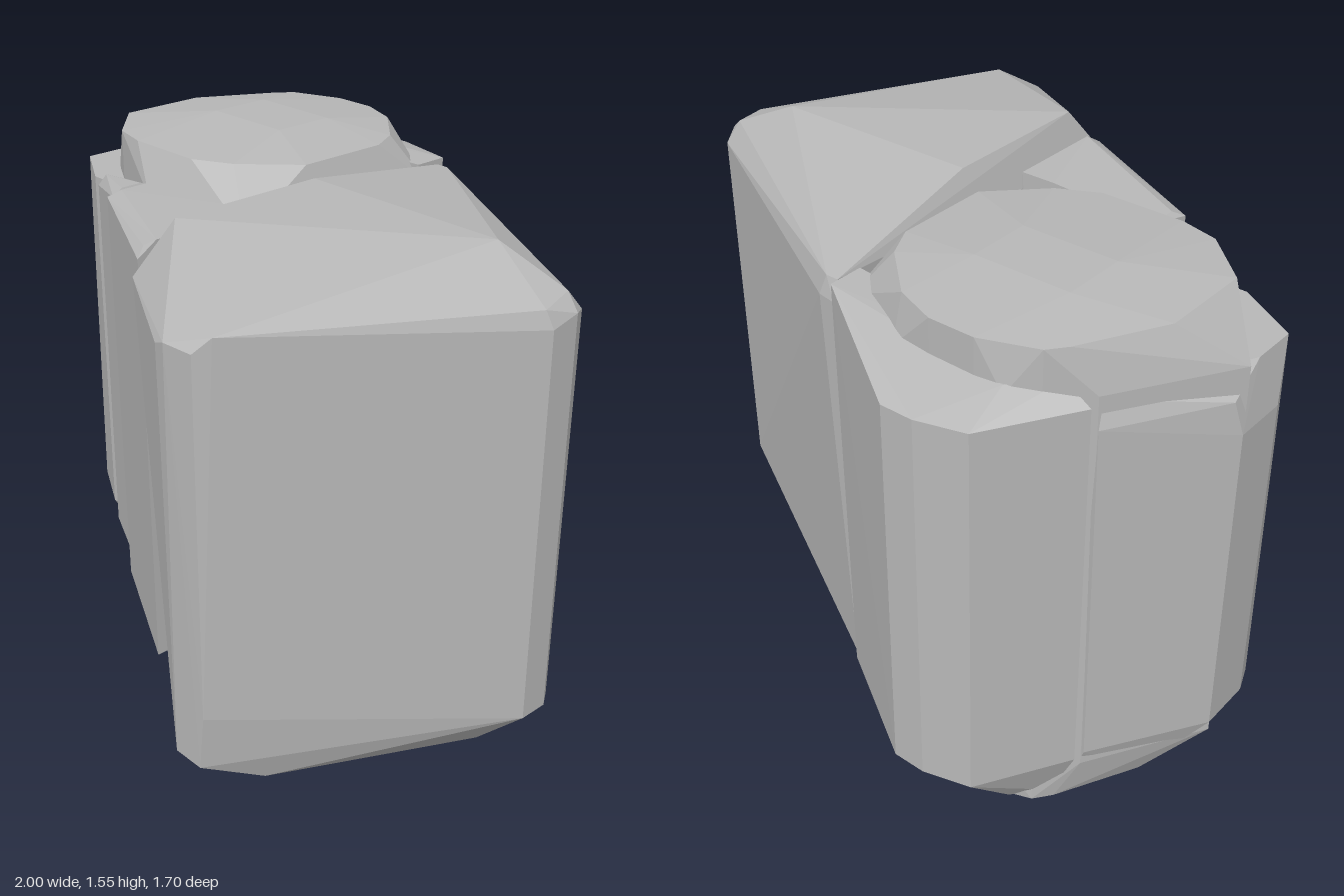
import * as THREE from 'three';
import { ConvexGeometry } from 'three/addons/geometries/ConvexGeometry.js';

export function createModel() {
  const group = new THREE.Group();
  const grey = new THREE.MeshStandardMaterial({ color: 0xb8b8b8 });
  grey.name = 'stone grey';

  // Convex solid around a list of [x, y, z] corners
  const hull = (name, pts) => {
    const mesh = new THREE.Mesh(new ConvexGeometry(pts.map(p => new THREE.Vector3(...p))), grey);
    mesh.name = name;
    group.add(mesh);
  };
  // Horizontal outline of [x, z] corners at height y
  const ring = (y, outline) => outline.map(([x, z]) => [x, y, z]);

  // Large bevelled block on the left
  hull('largeBlock', [
    [0.07, 1.53, 0.5], [0.07, 1.53, 0.0], [0.75, 1.53, 0.0],
    [0.02, 1.44, -0.57], [0.06, 1.44, -0.57], [0.95, 1.44, -0.04],
    [0.98, 1.43, 0.08], [0.58, 1.44, 0.8], [0.02, 1.38, 0.61], [0.4, 1.38, 0.83],
    [0.02, 1.38, -0.59], [0.08, 1.38, -0.58], [0.96, 1.38, -0.09],
    [1.0, 1.4, -0.02], [1.0, 1.38, 0.07], [0.55, 1.4, 0.84], [0.45, 1.4, 0.845],
    [1.0, 0.21, -0.02], [1.0, 0.21, 0.07], [0.96, 0.2, -0.08],
    [0.55, 0.35, 0.84], [0.43, 0.18, 0.84], [0.53, 0.18, 0.84],
    [0.02, 0.13, -0.58], [0.07, 0.1, -0.5], [0.07, 0.1, 0.5],
    [0.6, 0.1, 0.67], [0.88, 0.1, 0.12], [0.85, 0.1, -0.04],
  ]);

  // Rounded core with flared shoulders at top and bottom
  const disc = [
    [-0.85, -0.32], [-0.72, -0.56], [-0.68, -0.61], [-0.52, -0.67], [-0.38, -0.67],
    [-0.25, -0.62], [-0.1, -0.48], [-0.05, -0.38], [-0.05, -0.08], [-0.2, 0.07],
    [-0.32, 0.13], [-0.58, 0.13], [-0.7, 0.1], [-0.85, -0.04],
  ];
  const shoulder = [
    [0.0, 0.2], [-0.44, 0.2], [-0.8, 0.04], [-0.99, -0.18],
    [-0.78, -0.52], [-0.6, -0.66], [-0.25, -0.66], [0.0, -0.54],
  ];
  hull('core', [
    ...ring(1.525, disc),
    ...ring(1.553, [[-0.6, -0.4], [-0.6, -0.2], [-0.3, -0.2], [-0.3, -0.4]]),
    ...ring(1.39, shoulder), ...ring(0.14, shoulder), ...ring(0, disc),
  ]);

  // Wall segment: outline rings at the foot, lower bevel, upper bevel and top
  const wall = (name, layers) => hull(name, layers.flatMap(([y, o]) => ring(y, o)));

  wall('backWall', [
    [0, [[-0.7, -0.55], [-0.62, -0.64], [-0.52, -0.67], [-0.38, -0.67], [-0.2, -0.6]]],
    [0.13, [[0.005, -0.6], [0.005, -0.5]]],
    [0.18, [[-0.38, -0.85], [-0.48, -0.85], [-0.62, -0.81], [-0.78, -0.55]]],
    [1.37, [[-0.38, -0.85], [-0.48, -0.85], [-0.62, -0.81], [-0.78, -0.55]]],
    [1.42, [[-0.4, -0.68], [-0.6, -0.66], [-0.7, -0.55]]],
    [1.45, [[0.005, -0.61], [0.005, -0.5]]],
  ]);

  wall('sideWall', [
    [0, [[-0.72, -0.5], [-0.85, -0.32], [-0.85, -0.05], [-0.72, 0.06]]],
    [0.19, [[-0.79, -0.52], [-1.0, -0.2], [-1.0, -0.03], [-0.97, 0.05], [-0.78, 0.155], [-0.7, 0.155]]],
    [1.2, [[-1.0, -0.2], [-1.0, -0.03]]],
    [1.3, [[-0.79, -0.53], [-0.98, -0.22]]],
    [1.37, [[-0.97, 0.04], [-0.97, -0.1], [-0.78, 0.155], [-0.7, 0.155], [-0.7, 0.08], [-0.78, -0.5]]],
  ]);

  wall('narrowFrontWall', [
    [0, [[-0.695, 0.08], [-0.48, 0.1]]],
    [0.17, [[-0.7, 0.2], [-0.47, 0.31], [-0.465, 0.15]]],
    [1.37, [[-0.7, 0.2], [-0.7, 0.1]]],
    [1.41, [[-0.47, 0.31], [-0.67, 0.19], [-0.47, 0.15]]],
    [1.43, [[-0.48, 0.27], [-0.48, 0.2]]],
  ]);

  wall('wideFrontWall', [
    [0.12, [[-0.46, 0.33], [-0.46, 0.18], [-0.1, 0.18]]],
    [0.15, [[0.012, 0.58], [0.012, 0.2]]],
    [1.42, [[-0.465, 0.335], [0.012, 0.585]]],
    [1.44, [[-0.44, 0.3], [-0.44, 0.2], [-0.02, 0.54]]],
    [1.46, [[0.012, 0.52], [0.012, 0.2], [-0.1, 0.2]]],
  ]);

  return group;
}
